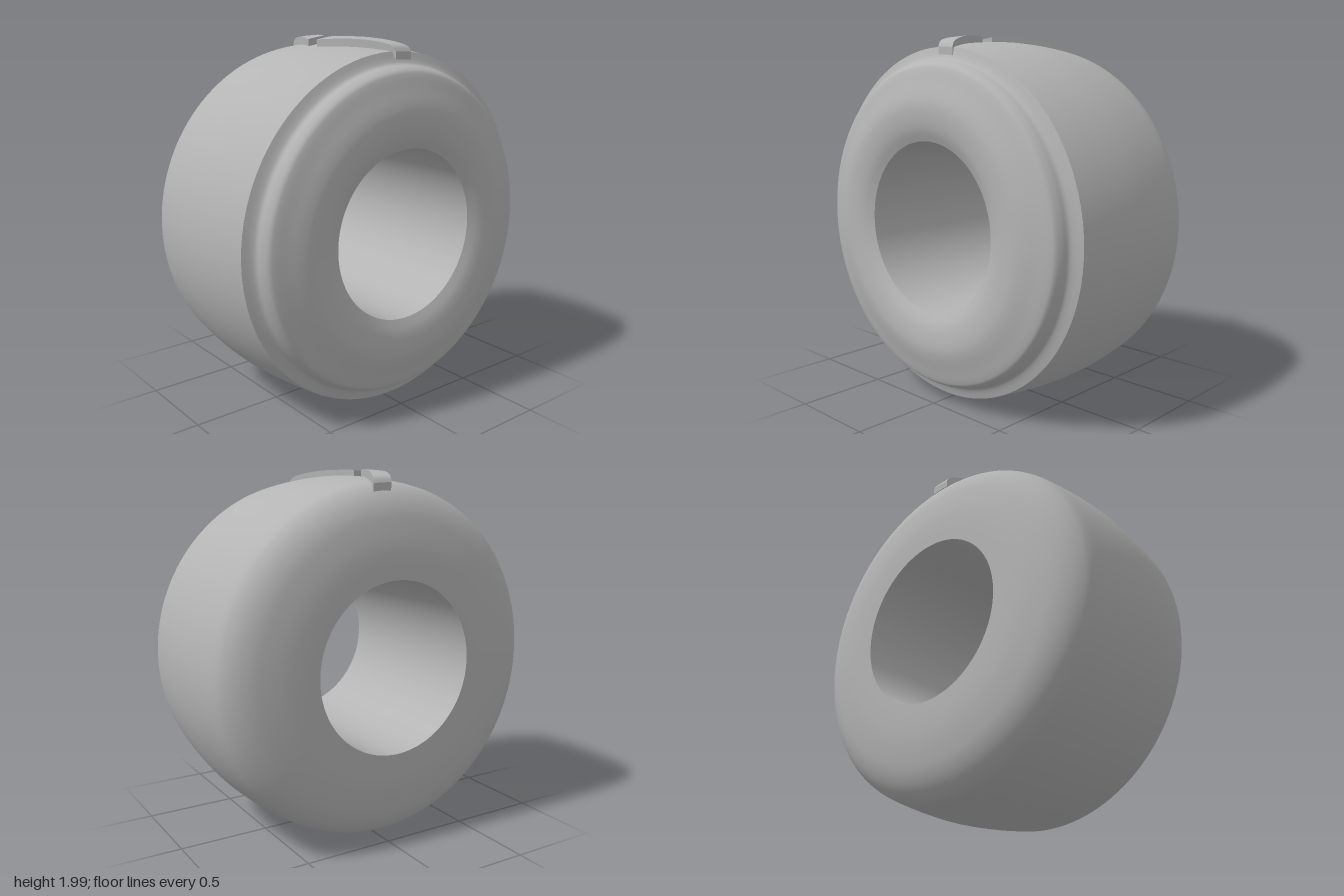
import * as THREE from 'three';

const AXLE_Y = 0.985;

// Smooth curve through [radius, x] points, spun around the x axis
function spin(name, points, samples, material) {
  const curve = new THREE.SplineCurve(points.map(([r, x]) => new THREE.Vector2(r, x)));
  const geometry = new THREE.LatheGeometry(curve.getPoints(samples), 128);
  geometry.rotateZ(-Math.PI / 2);
  const mesh = new THREE.Mesh(geometry, material);
  mesh.name = name;
  mesh.position.y = AXLE_Y;
  return mesh;
}

// Slanted tread bar wrapped over the crown; side is +1 (left) or -1 (right)
function treadBar(side, material) {
  const topCurve = new THREE.SplineCurve([
    [0.037, 1.017], [0.2, 1.012], [0.32, 1.0], [0.4, 0.984], [0.432, 0.97], [0.447, 0.945],
  ].map(([u, r]) => new THREE.Vector2(u, r)));
  const geometry = new THREE.BoxGeometry(1, 1, 1, 30, 1, 4);
  const p = geometry.attributes.position;
  for (let i = 0; i < p.count; i++) {
    const t = 0.5 + side * p.getX(i);
    const top = topCurve.getPointAt(t);
    const along = (top.x - 0.037) / 0.41;
    const z = 0.149 - 0.191 * along + p.getZ(i) * 0.106;
    const r = p.getY(i) > 0 ? top.y : 0.905;
    p.setXYZ(i, -0.024 + side * top.x, Math.sqrt(r * r - z * z), z);
  }
  geometry.computeVertexNormals();
  const mesh = new THREE.Mesh(geometry, material);
  mesh.name = side > 0 ? 'leftTreadBar' : 'rightTreadBar';
  mesh.position.y = AXLE_Y;
  return mesh;
}

export function createModel() {
  const group = new THREE.Group();
  group.name = 'tire';
  const rubber = new THREE.MeshStandardMaterial({ color: 0xb4b4b4, side: THREE.DoubleSide });
  rubber.name = 'grey rubber';

  // Flat inner sidewall, rounded shoulder and crowned tread
  group.add(spin('treadAndRightSidewall', [
    [0.461, -0.565], [0.56, -0.564], [0.65, -0.558], [0.74, -0.543], [0.81, -0.525],
    [0.87, -0.495], [0.915, -0.455], [0.943, -0.405], [0.96, -0.31], [0.975, -0.16],
    [0.981, -0.02], [0.976, 0.12], [0.962, 0.28], [0.945, 0.405],
  ], 80, rubber));

  // Stepped shoulder and bulging outer sidewall
  group.add(spin('steppedLeftSidewall', [
    [0.945, 0.405], [0.905, 0.42], [0.882, 0.437], [0.871, 0.47], [0.855, 0.498],
    [0.83, 0.512], [0.77, 0.53], [0.7, 0.551], [0.645, 0.56], [0.58, 0.557],
    [0.52, 0.545], [0.461, 0.52],
  ], 70, rubber));

  // Open bore through the middle
  group.add(spin('bore', [[0.461, 0.52], [0.461, -0.565]], 4, rubber));

  // Chevron pair on the crown
  for (const side of [1, -1]) group.add(treadBar(side, rubber));

  return group;
}
